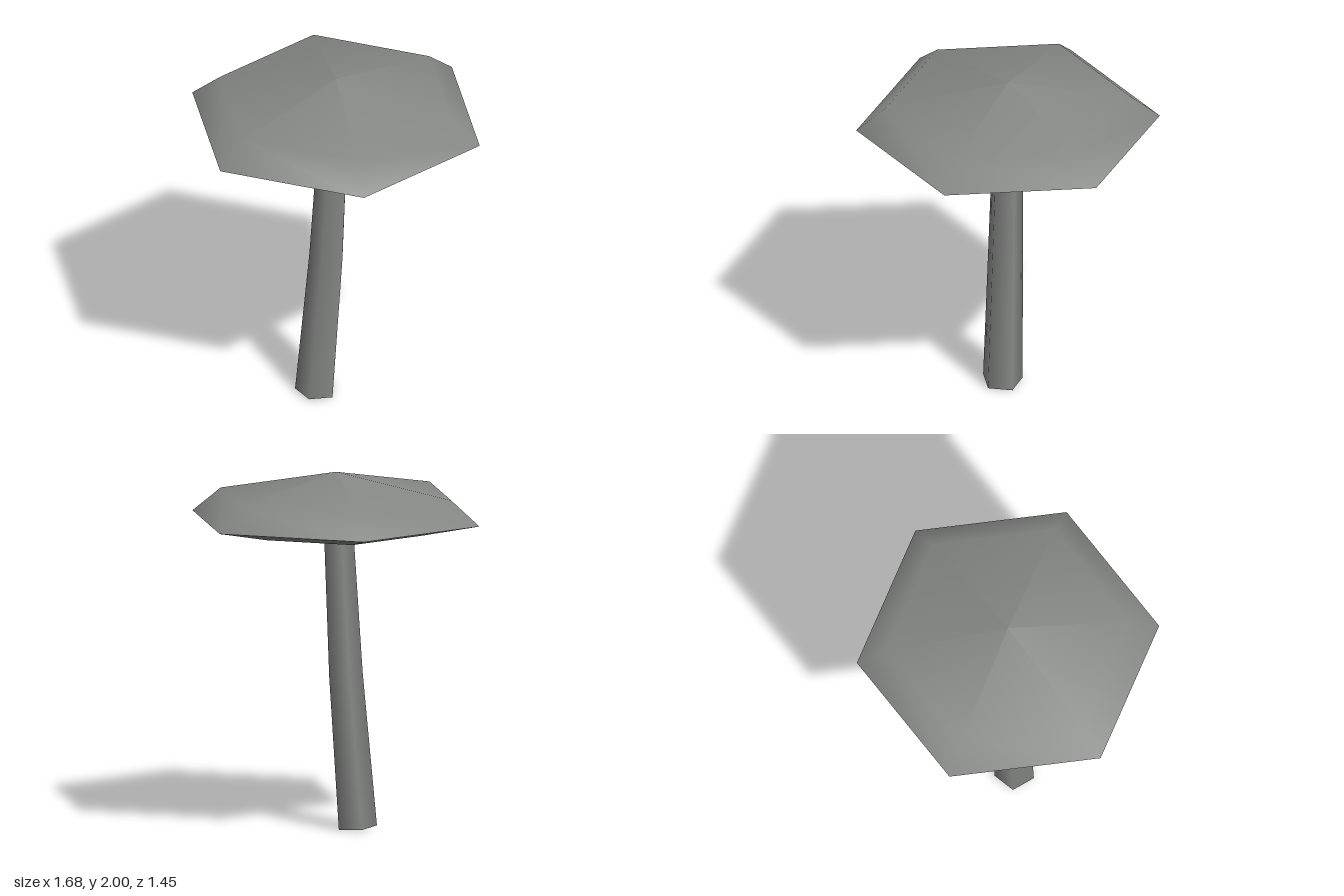
import * as THREE from 'three';

export function createModel() {
  const model = new THREE.Group();
  model.name = 'mushroom';
  const grey = new THREE.MeshStandardMaterial({ color: 0x868886 });
  grey.name = 'stone grey';

  const add = (name, geometry) => {
    const mesh = new THREE.Mesh(geometry, grey);
    mesh.name = name;
    model.add(mesh);
  };

  // Six-sided turned shell with corners on the x axis, profile from bottom to top
  const shell = (points) => new THREE.LatheGeometry(
    points.map(([r, y]) => new THREE.Vector2(r, y)), 6, Math.PI / 2);

  // Cap: smooth dome above a sharp rim, shallow flat underside below it
  add('capTop', shell([[0.84, 1.74], [0.675, 1.876], [0, 2]]));
  add('capUnderside', shell([[0, 1.67], [0.5, 1.67], [0.84, 1.74]]));

  // Stem: tapered pentagon in two lengths, leaning and slightly bent
  const height = 1.75;
  const stem = new THREE.CylinderGeometry(0.087, 0.115, height, 5, 2);
  const centres = [
    new THREE.Vector3(-0.09, 0.012, 0.077),
    new THREE.Vector3(-0.036, 0.875, 0.035),
    new THREE.Vector3(-0.003, 1.74, 0.003),
  ];
  const pos = stem.attributes.position;
  for (let i = 0; i < pos.count; i++) {
    const x = pos.getX(i), z = pos.getZ(i);
    const c = centres[Math.round((pos.getY(i) / height + 0.5) * 2)];
    // Each ring is tilted square to the leaning axis
    pos.setXYZ(i, c.x + x, c.y - 0.06 * x + 0.05 * z, c.z + z);
  }
  add('stem', stem);

  return model;
}
